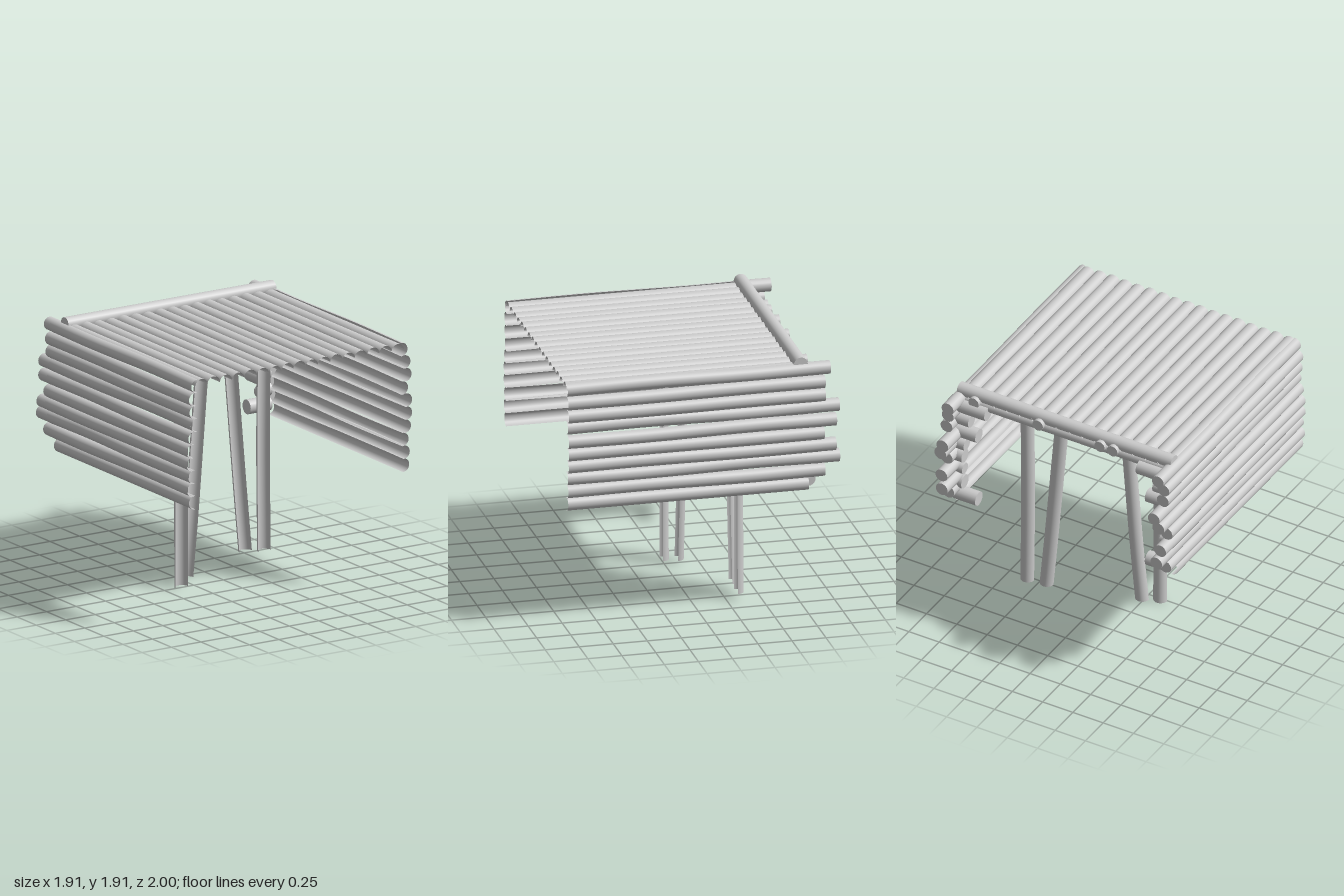
import * as THREE from 'three';
import { ParametricGeometry } from 'three/addons/geometries/ParametricGeometry.js';

const V = (x, y, z) => new THREE.Vector3(x, y, z);
const solidMat = new THREE.MeshStandardMaterial({ color: 0xcccccc });
const shellMat = new THREE.MeshStandardMaterial({ color: 0xcccccc, side: THREE.DoubleSide });

// Open split-log shell: an arc swept along points; "out" is the bulging side
function shell(name, points, r, out, side, arc = Math.PI) {
  const path = new THREE.CatmullRomCurve3(points);
  const p = V(0, 0, 0);
  const geo = new ParametricGeometry((u, v, target) => {
    const a = (u - 0.5) * arc;
    path.getPoint(v, p);
    target.copy(p).addScaledVector(out, r * Math.cos(a)).addScaledVector(side, r * Math.sin(a));
  }, 14, 10);
  const mesh = new THREE.Mesh(geo, shellMat);
  mesh.name = name;
  return mesh;
}

// Whole round log between two points
function log(name, a, b, r) {
  const d = b.clone().sub(a);
  const mesh = new THREE.Mesh(new THREE.CylinderGeometry(r, r, d.length(), 20), solidMat);
  mesh.quaternion.setFromUnitVectors(V(0, 1, 0), d.normalize());
  mesh.position.copy(a).add(b).multiplyScalar(0.5);
  mesh.name = name;
  return mesh;
}

// Side wall: ten split logs with round ends, and short cross logs at the back corner
function wall(s) {
  const g = new THREE.Group();
  g.name = s > 0 ? 'leftWall' : 'rightWall';
  const outer = s > 0
    ? [0.93, 0.935, 0.925, 0.945, 0.955, 0.955, 0.92, 0.95, 0.94, 0.915]
    : [0.94, 0.955, 0.945, 0.96, 0.96, 0.945, 0.925, 0.935, 0.94, 0.92];
  const ends = [0.77, 0.89, 1.0, 0.97, 0.88, 0.97, 1.0, 0.89, 0.89, 0.935];
  outer.forEach((x, i) => {
    const r = 0.05, cx = s * (x - r), y = 0.955 + i * 0.0955;
    const back = -Math.min(0.86, ends[i]);
    const bow = 0.005 * Math.sin(i * 2.3);
    g.add(shell('wallLog', [V(cx, y, 1), V(cx, y + bow, 0.4), V(cx, y - bow, -0.35), V(cx, y, back)],
      r, V(s, 0, 0), V(0, 1, 0), Math.PI * 1.04));
    if (i > 0) g.add(log('wallLogEnd', V(cx, y, -0.76), V(cx, y, -ends[i]), 0.049));
  });
  // [centre height, radius, inner end]
  [[0.985, 0.054, 0.7], [1.095, 0.054, 0.815], [1.21, 0.043, 0.815], [1.32, 0.051, 0.815],
    [1.425, 0.046, 0.8], [1.54, 0.053, 0.7], [1.65, 0.051, 0.76], [1.76, 0.054, 0.625]]
    .forEach(([y, r, x]) => g.add(log('cornerLog', V(s * 0.885, y, -0.775), V(s * x, y, -0.775), r)));
  return g;
}

export function createModel() {
  const model = new THREE.Group();
  model.add(wall(1), wall(-1));

  // Ceiling of split logs side by side
  const roof = new THREE.Group();
  roof.name = 'roof';
  const n = 17, pitch = 1.77 / n;
  for (let i = 0; i < n; i++) {
    const x = (i - (n - 1) / 2) * pitch;
    const y = 1.81 + 0.003 * Math.sin(i * 1.9);
    roof.add(shell('roofLog', [V(x, y, 1), V(x + 0.002 * Math.sin(i * 2.7), y, 0), V(x, y, -0.77)],
      0.054, V(0, 1, 0), V(1, 0, 0), Math.PI * 0.9));
  }
  // Round ends that reach past the beams
  [-0.415, -0.31, 0.2, 0.73].forEach(x =>
    roof.add(log('roofLogEnd', V(x, 1.832, -0.7), V(x, 1.832, -0.8), 0.043)));
  model.add(roof);

  // Pair of beams across the back
  model.add(log('upperBeam', V(-0.88, 1.86, -0.72), V(0.885, 1.86, -0.72), 0.051));
  model.add(log('lowerBeam', V(-0.88, 1.8, -0.735), V(0.885, 1.8, -0.735), 0.042));

  // Split posts, hollow side to the front: [z, then x and y of bottom, bend and top]
  [[-0.005, -0.35, 0, -0.352, 0.9, -0.35, 1.77],
    [-0.09, -0.25, 0.03, -0.205, 0.5, -0.1, 1.8],
    [-0.325, 0.4, 0.07, 0.36, 0.5, 0.245, 1.835],
    [-0.325, 0.56, 0.05, 0.552, 0.8, 0.56, 1.825]].forEach(([z, x0, y0, x1, y1, x2, y2]) =>
    model.add(shell('post', [V(x0, y0, z), V(x1, y1, z), V((x1 + x2) / 2, (y1 + y2) / 2, z), V(x2, y2, z)],
      0.053, V(0, 0, -1), V(1, 0, 0))));

  return model;
}
